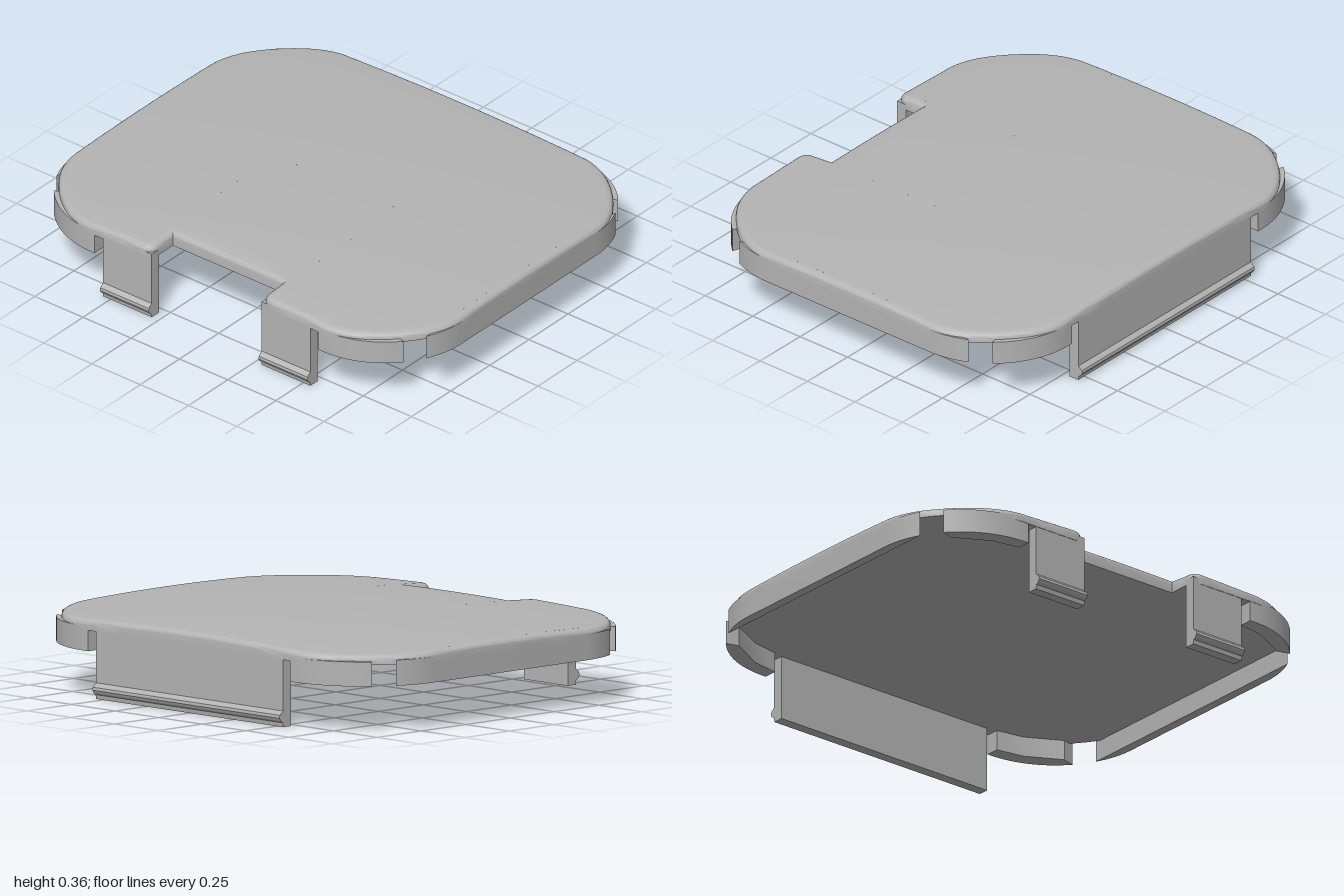
import * as THREE from 'three';
import { toCreasedNormals, mergeGeometries } from 'three/addons/utils/BufferGeometryUtils.js';

const BOTTOM = 0.275;
const domeY = (x, z) => 0.356 - 0.032 * x * x - 0.04 * z * z;

// Plate outline in (x, z), moved inward by d; corners are slightly flattened
function outline(d) {
  const n = 0.285 + d, D = 0.828 - d, nr = 0.045 - d;
  const half = [];
  const line = (x0, z0, x1, z1, steps) => {
    for (let i = 0; i < steps; i++) {
      const t = i / steps;
      half.push([x0 + (x1 - x0) * t, z0 + (z1 - z0) * t]);
    }
  };
  const arc = (cx, cz, r, a0, a1, steps, flat = 0) => {
    for (let i = 0; i < steps; i++) {
      const a = a0 + (a1 - a0) * i / steps;
      const q = r - flat * Math.sin(2 * a) ** 2;
      half.push([cx + q * Math.cos(a), cz + q * Math.sin(a)]);
    }
  };
  const P = Math.PI;
  line(0, 0.69 - d, n, 0.69 - d, 6);
  line(n, 0.69 - d, n, D - nr, 2);
  arc(n + nr, D - nr, nr, P, P / 2, 6);
  line(n + nr, D, 0.6, D, 6);
  arc(0.6, 0.43, 0.4 - d, P / 2, 0, 18, 0.022);
  line(1 - d, 0.43, 1 - d, -0.43, 10);
  arc(0.6, -0.43, 0.4 - d, 0, -P / 2, 18, 0.022);
  line(0.6, -D, 0, -D, 12);
  half.push([0, -D]);
  const other = half.slice(1, -1).reverse().map(([x, z]) => [-x, z]);
  return half.concat(other);
}

// Domed top, rounded rim and flat underside
function plateGeometry() {
  const rows = [];
  const inner = outline(0.03);
  for (let i = 0; i <= 10; i++) {
    rows.push(inner.map(([x, z]) => [x, domeY(x, z * i / 10), z * i / 10]));
  }
  for (let k = 1; k <= 5; k++) {
    const a = k / 5 * Math.PI / 2;
    const ring = outline(0.03 * (1 - Math.sin(a)));
    rows.push(ring.map(([x, z], j) =>
      [x, domeY(...inner[j]) - 0.022 * (1 - Math.cos(a)), z]));
  }
  const rim = outline(0);
  rows.push(rim.map(([x, z]) => [x, BOTTOM, z]));

  const n = rim.length, index = [];
  for (let i = 0; i < rows.length - 1; i++) {
    for (let j = 0; j < n; j++) {
      const a = i * n + j, b = i * n + (j + 1) % n;
      index.push(a, a + n, b + n, a, b + n, b);
    }
  }
  const shell = new THREE.BufferGeometry();
  shell.setAttribute('position', new THREE.Float32BufferAttribute(rows.flat(2), 3));
  shell.setIndex(index);

  const under = new THREE.ShapeGeometry(
    new THREE.Shape(rim.map(([x, z]) => new THREE.Vector2(x, z))));
  under.rotateX(Math.PI / 2).translate(0, BOTTOM, 0);
  under.deleteAttribute('uv');
  under.deleteAttribute('normal');
  return toCreasedNormals(mergeGeometries([shell, under]), 0.7);
}

const extrude = (points, depth) => new THREE.ExtrudeGeometry(
  new THREE.Shape(points.map(([x, y]) => new THREE.Vector2(x, y))),
  { depth, bevelEnabled: false });

// Upright wall from a footprint in (x, z)
function wallGeometry(points, y0, y1) {
  const g = extrude(points, y1 - y0);
  g.rotateX(Math.PI / 2).translate(0, y1, 0);
  return toCreasedNormals(g, 0.5);
}

// Clip tab with a snap bead along its lower outer edge
function tabGeometry(width, side) {
  const profile = [
    [0.78, 0.3], [0.78, 0], [0.825, 0], [0.828, 0.018], [0.84, 0.026],
    [0.846, 0.038], [0.844, 0.05], [0.826, 0.066], [0.826, 0.3],
  ].map(([z, y]) => [z * side, y]);
  const g = extrude(profile, width);
  g.translate(0, 0, -width / 2).rotateY(-Math.PI / 2);
  return toCreasedNormals(g, 0.5);
}

function arcPoints(a0, a1, steps) {
  return Array.from({ length: steps + 1 }, (_, i) => {
    const a = THREE.MathUtils.degToRad(a0 + (a1 - a0) * i / steps);
    return [0.6 + 0.4 * Math.cos(a), 0.43 + 0.398 * Math.sin(a)];
  });
}

export function createModel() {
  const model = new THREE.Group();
  model.name = 'snapCover';
  const plastic = new THREE.MeshStandardMaterial({ color: 0xb4b4b4 });
  plastic.name = 'grey plastic';
  const add = (name, geometry, x = 0) => {
    const mesh = new THREE.Mesh(geometry, plastic);
    mesh.name = name;
    mesh.position.x = x;
    model.add(mesh);
  };

  add('coverPlate', plateGeometry());

  // Clip tabs: one wide at the back, two narrow beside the front notch
  add('backClip', tabGeometry(1.075, -1));
  add('frontClipLeft', tabGeometry(0.252, 1), 0.411);
  add('frontClipRight', tabGeometry(0.252, 1), -0.411);

  // Side walls follow the rounded outline, with a straight inner face
  const bend = arcPoints(0, 26, 8);
  const sideFoot = [...bend.map(([x, z]) => [x, -z]).reverse(), ...bend];
  // Corner walls, tapered toward the open gap
  const cornerFoot = [[0.58, 0.828], ...arcPoints(90, 40, 12),
    [0.85, 0.67], [0.7, 0.75], [0.58, 0.77]];
  for (const sx of [1, -1]) {
    const label = sx > 0 ? 'Left' : 'Right';
    add('sideWall' + label, wallGeometry(sideFoot.map(([x, z]) => [x * sx, z]), 0.19, 0.295));
    for (const sz of [1, -1]) {
      add((sz > 0 ? 'front' : 'back') + 'CornerWall' + label,
        wallGeometry(cornerFoot.map(([x, z]) => [x * sx, z * sz]), 0.19, 0.29));
    }
  }
  return model;
}
